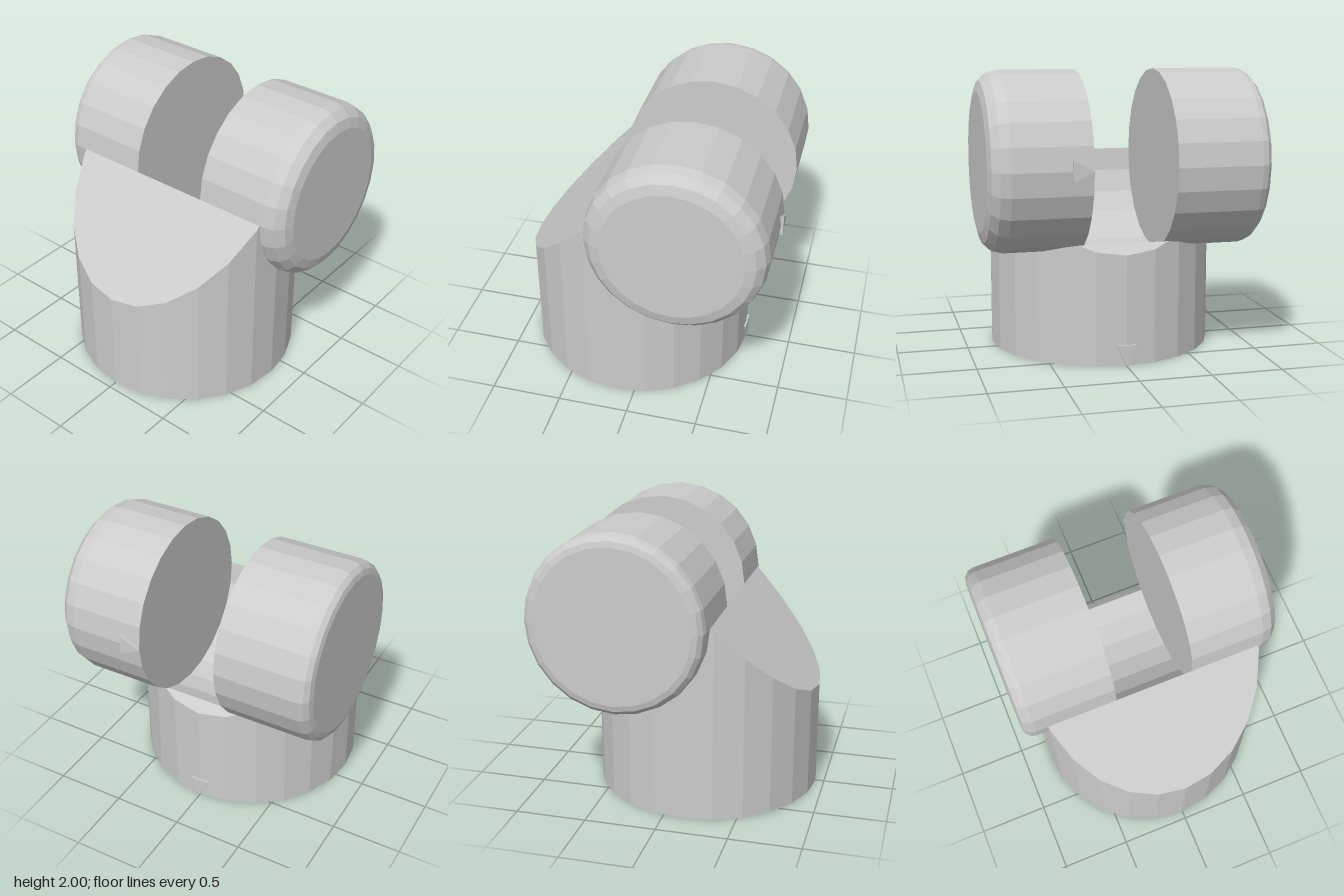
import * as THREE from 'three';

const SIDES = 24;
const BASE = { x: -0.135, r: 0.803 };
const HINGE = { x: 0.3, y: 1.38, r: 0.62, gap: 0.28, end: 0.947 };

// Height or width at x along a polyline of [x, value] points, sorted by x
function sample(points, x) {
  let i = 1;
  while (i < points.length - 1 && points[i][0] < x) i++;
  const [a, b] = [points[i - 1], points[i]];
  return a[1] + (b[1] - a[1]) * (x - a[0]) / (b[0] - a[0]);
}

// Upright round base with a sloped top and a concave saddle for the hinge
function baseGeometry() {
  const outline = [];
  for (let k = SIDES / 2; k >= 0; k--) {
    const a = k * 2 * Math.PI / SIDES;
    outline.push([BASE.x + BASE.r * Math.cos(a), BASE.r * Math.sin(a)]);
  }
  const saddle = [];
  for (let k = 0; k <= 9; k++) {
    const a = Math.PI + k * 2 * Math.PI / SIDES;
    saddle.push([HINGE.x + HINGE.r * Math.cos(a), HINGE.y + HINGE.r * Math.sin(a)]);
  }
  const start = saddle[0][0], stop = 0.597;
  const top = (x) => (x < start ? x - start + HINGE.y : x > stop ? 1.435 - x : sample(saddle, x));

  const xs = [...outline.map((p) => p[0]), ...saddle.map((p) => p[0]).filter((x) => x < stop), stop];
  xs.sort((a, b) => a - b);

  const position = [];
  const quad = (a, b, c, d) => position.push(...a, ...b, ...c, ...a, ...c, ...d);
  for (let i = 1; i < xs.length; i++) {
    const [p, q] = [xs[i - 1], xs[i]];
    const [wp, wq] = [sample(outline, p), sample(outline, q)];
    const [yp, yq] = [top(p), top(q)];
    const mid = (p + q) / 2;
    const inSaddle = mid > start && mid < stop;
    const [tp, tq] = inSaddle ? [HINGE.gap, HINGE.gap] : [wp, wq];
    quad([p, yp, tp], [q, yq, tq], [q, yq, -tq], [p, yp, -tp]);
    quad([p, 0, wp], [q, 0, wq], [q, yq, wq], [p, yp, wp]);
    quad([p, yp, -wp], [q, yq, -wq], [q, 0, -wq], [p, 0, -wp]);
    quad([p, 0, -wp], [q, 0, -wq], [q, 0, wq], [p, 0, wp]);
  }
  const geometry = new THREE.BufferGeometry();
  geometry.setAttribute('position', new THREE.Float32BufferAttribute(position, 3));
  geometry.computeVertexNormals();
  return geometry;
}

// Horizontal barrel with a rounded outer rim; side is +1 for front, -1 for back
function barrelGeometry(side, fillet) {
  const { r, gap, end } = HINGE;
  const profile = [new THREE.Vector2(0, gap), new THREE.Vector2(r, gap)];
  for (let k = 0; k <= 3; k++) {
    const a = k * Math.PI / 6;
    profile.push(new THREE.Vector2(r - fillet + fillet * Math.cos(a), end - fillet + fillet * Math.sin(a)));
  }
  profile.push(new THREE.Vector2(0, end));
  return new THREE.LatheGeometry(profile, SIDES).rotateX(side * Math.PI / 2);
}

// Thin triangle facing +x, given as [z, y] corners
function markerGeometry(corners, depth) {
  const shape = new THREE.Shape(corners.map(([z, y]) => new THREE.Vector2(-z, y)));
  return new THREE.ExtrudeGeometry(shape, { depth, bevelEnabled: false }).rotateY(Math.PI / 2);
}

export function createModel() {
  const group = new THREE.Group();
  const material = new THREE.MeshStandardMaterial({ color: 0xcccccc, flatShading: true });
  const add = (name, geometry, x = 0, y = 0) => {
    const mesh = new THREE.Mesh(geometry, material);
    mesh.name = name;
    mesh.position.set(x, y, 0);
    group.add(mesh);
  };

  add('base', baseGeometry());
  add('frontBarrel', barrelGeometry(1, 0.14), HINGE.x, HINGE.y);
  add('backBarrel', barrelGeometry(-1, 0.08), HINGE.x, HINGE.y);

  // Raised alignment arrows
  add('baseMarker', markerGeometry([[-0.07, 0.145], [0.07, 0.145], [0, 0]], 0.025), 0.653);
  add('barrelMarker', markerGeometry([[0.42, 1.455], [0.42, 1.31], [0.28, 1.38]], 0.025), 0.911);
  return group;
}
